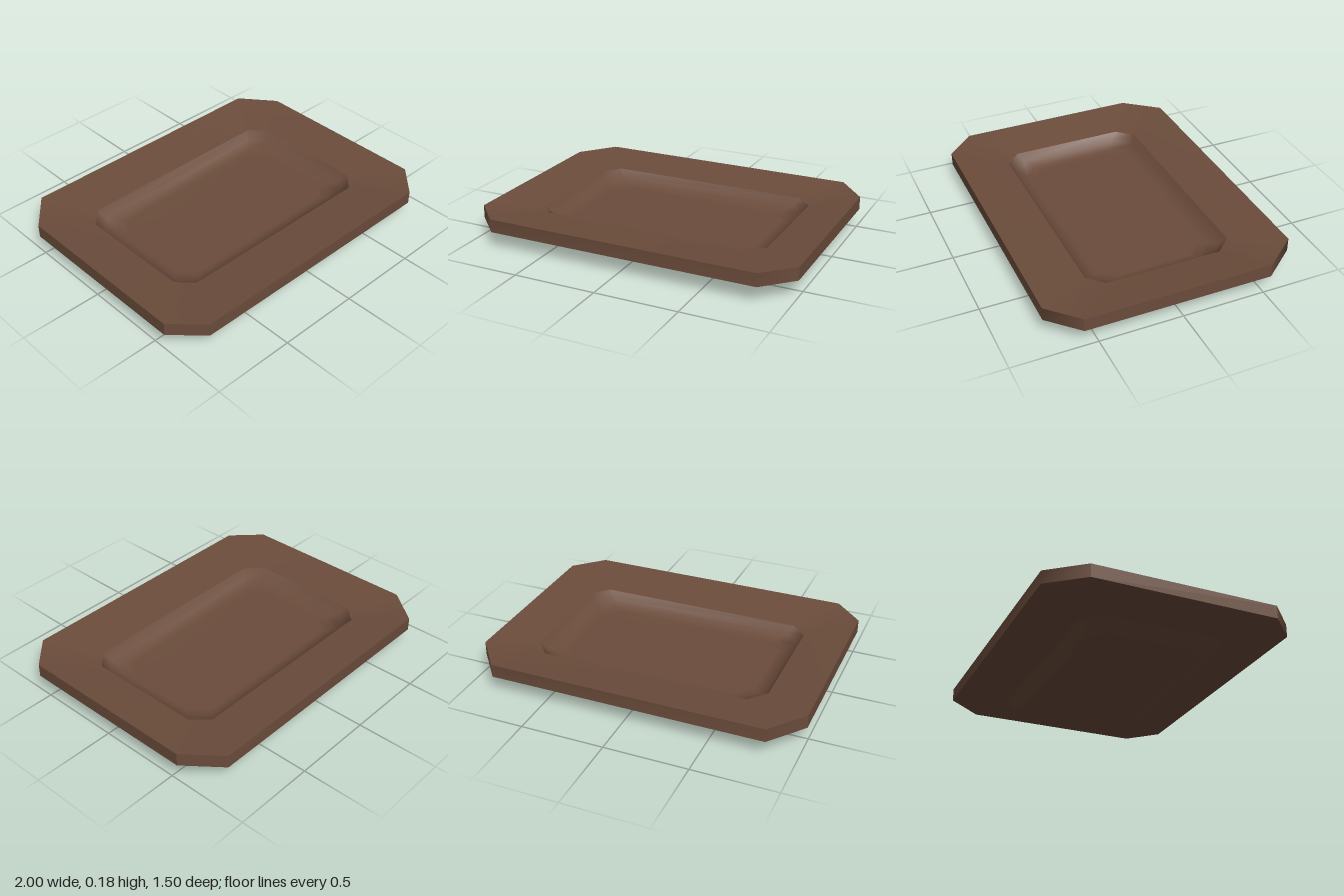
import * as THREE from 'three';

// Eight-cornered outline, counter-clockwise from above, starting at the front left
function ring(y, x0, x1, z0, z1, cutX, cutBack, cutFront) {
  return [
    [x0 + cutX, z1], [x1 - cutX, z1], [x1, z1 - cutFront], [x1, z0 + cutBack],
    [x1 - cutX, z0], [x0 + cutX, z0], [x0, z0 + cutBack], [x0, z1 - cutFront],
  ].map(([x, z]) => new THREE.Vector3(x, y, z));
}

// Inner outline shared by the basin and the foot, shrunk by an inset
const inner = (y, inset) => ring(y, -0.72 + inset, 0.73 - inset, -0.46 + inset, 0.43 - inset, 0.09, 0.1, 0.09);
const center = (y) => Array.from({ length: 8 }, () => new THREE.Vector3(0, y, 0));

// Smooth skin through successive rings, limited to the listed consecutive sides
function skin(rings, sides) {
  const closed = !sides;
  const corners = closed ? [0, 1, 2, 3, 4, 5, 6, 7] : [...sides, (sides[sides.length - 1] + 1) % 8];
  const n = corners.length;
  const points = rings.flatMap((r) => corners.map((c) => r[c]));
  const index = [];
  for (let k = 0; k < rings.length - 1; k++) {
    for (let i = 0; i < (closed ? n : n - 1); i++) {
      const j = (i + 1) % n;
      const a = k * n + i, b = k * n + j, c = a + n, d = b + n;
      index.push(a, b, d, a, d, c);
    }
  }
  const geometry = new THREE.BufferGeometry().setFromPoints(points);
  geometry.setIndex(index);
  geometry.computeVertexNormals();
  return geometry;
}

export function createModel() {
  const group = new THREE.Group();
  group.name = 'tray';
  const brown = new THREE.MeshStandardMaterial({ color: 0x6b4c3b });
  brown.name = 'brown';

  const add = (name, rings, sides) => {
    const mesh = new THREE.Mesh(skin(rings, sides), brown);
    mesh.name = name;
    group.add(mesh);
  };

  const rim = (y) => ring(y, -1, 1, -0.75, 0.75, 0.17, 0.21, 0.17);
  const footTop = ring(0.06, -0.72, 0.73, -0.45, 0.45, 0.09, 0.1, 0.1);
  const footBase = ring(0, -0.63, 0.64, -0.37, 0.34, 0.09, 0.08, 0.08);

  // Underside: flat foot, its sloping wall and the shallow flare to the rim
  add('footBase', [center(0), footBase]);
  add('footWall', [footBase, footTop]);
  add('underside', [footTop, rim(0.1)]);

  // Edge: front and back wrap softly round the corners, the ends are crisp
  add('frontEdge', [rim(0.1), rim(0.18)], [7, 0, 1]);
  add('leftEdge', [rim(0.1), rim(0.18)], [2]);
  add('backEdge', [rim(0.1), rim(0.18)], [3, 4, 5]);
  add('rightEdge', [rim(0.1), rim(0.18)], [6]);

  // Upper surface sloping in to the basin, with a rounded wall and a flat floor
  add('rimTop', [rim(0.18), inner(0.14, 0)]);
  add('basin', [inner(0.14, 0), inner(0.095, 0.035), inner(0.068, 0.09), inner(0.065, 0.13), center(0.065)]);

  return group;
}
